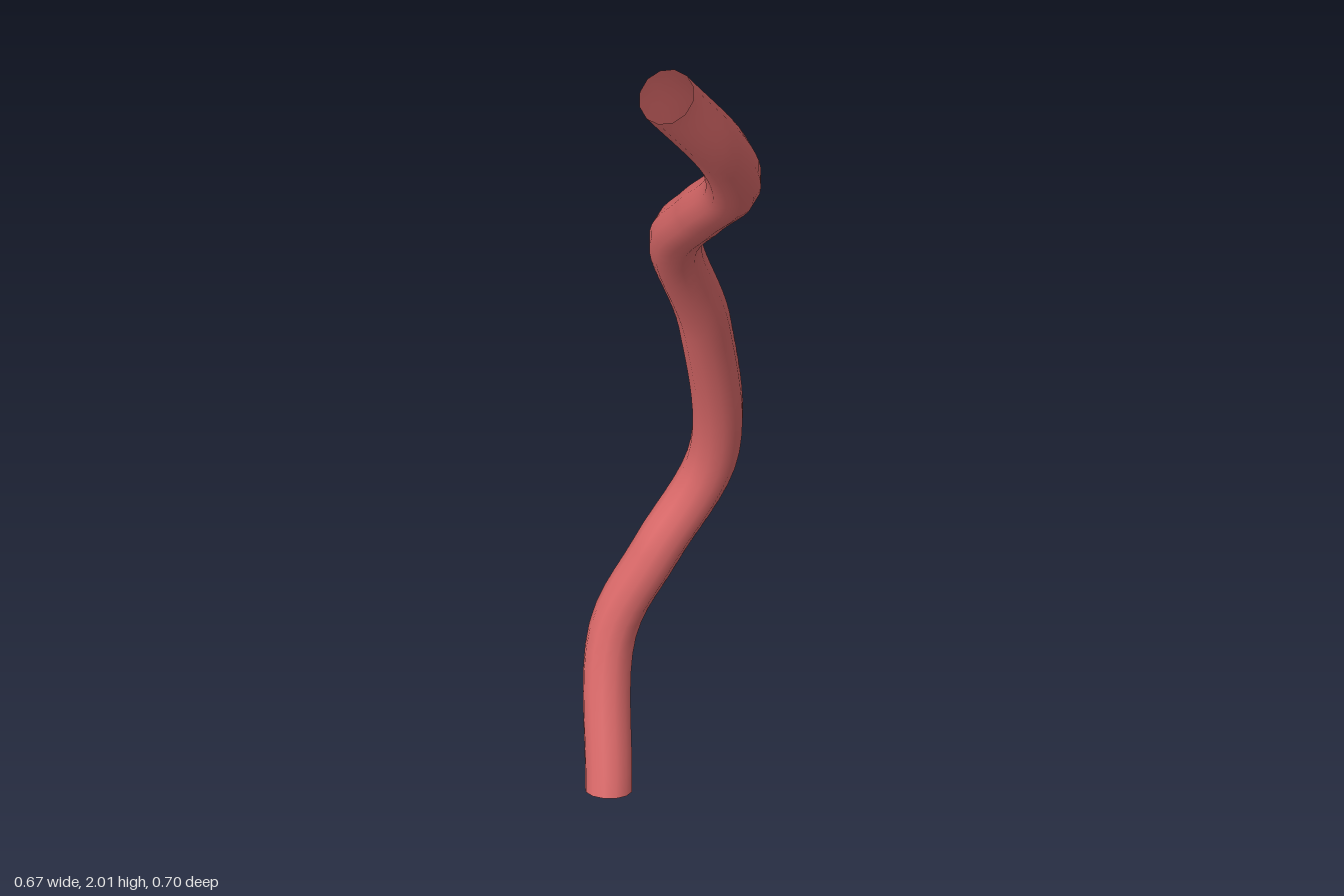
import * as THREE from 'three';

export function createModel() {
  const group = new THREE.Group();
  group.name = 'bentTube';

  // centre line, bottom to top
  const path = new THREE.CatmullRomCurve3([
    [-0.25, 0.01, -0.145],
    [-0.294, 0.28, -0.203],
    [-0.24, 0.45, -0.25],
    [-0.168, 0.65, -0.308],
    [-0.108, 1.0, -0.222],
    [-0.05, 1.28, -0.085],
    [0.075, 1.45, -0.01],
    [0.205, 1.61, 0.06],
    [0.264, 1.76, 0.15],
    [0.285, 1.98, 0.312],
  ].map((p) => new THREE.Vector3(...p)));

  // open tube, widening slightly towards the top
  const rings = 64, sides = 12;
  const geometry = new THREE.TubeGeometry(path, rings, 1, sides, false);
  const position = geometry.attributes.position;
  const v = new THREE.Vector3();
  for (let i = 0; i <= rings; i++) {
    const centre = path.getPointAt(i / rings);
    const radius = THREE.MathUtils.lerp(0.039, 0.048, i / rings);
    for (let j = 0; j <= sides; j++) {
      const k = i * (sides + 1) + j;
      v.fromBufferAttribute(position, k).sub(centre).multiplyScalar(radius).add(centre);
      position.setXYZ(k, v.x, v.y, v.z);
    }
  }

  const tube = new THREE.Mesh(
    geometry,
    new THREE.MeshStandardMaterial({ color: 0xe06c6c, side: THREE.DoubleSide })
  );
  tube.name = 'tube';
  group.add(tube);
  return group;
}
